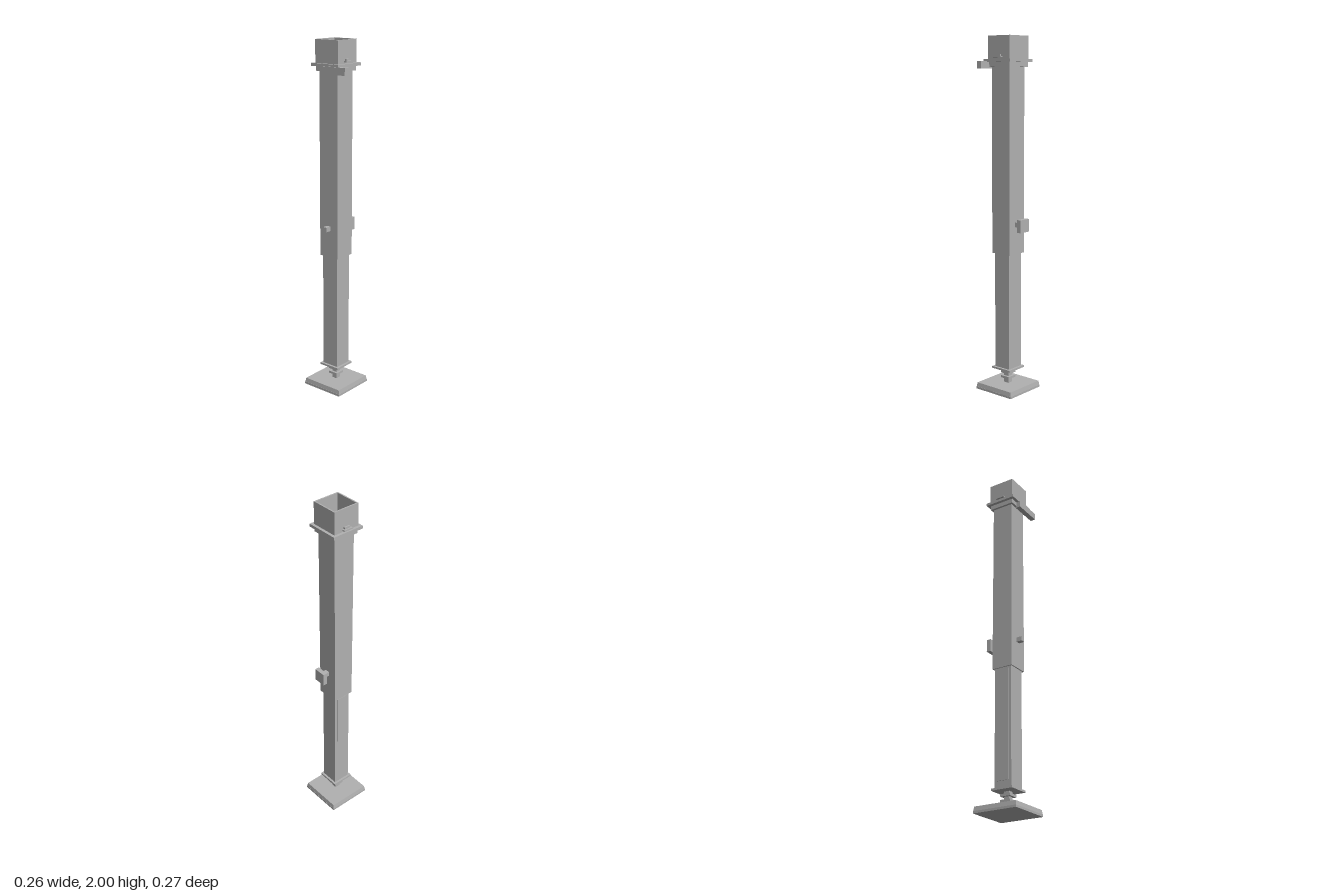
import * as THREE from 'three';

export function createModel() {
  const group = new THREE.Group();
  const steel = new THREE.MeshStandardMaterial({ color: 0xb0b0b0 });
  steel.name = 'grey steel';

  const add = (name, geometry, x = 0, y = 0, z = 0) => {
    const mesh = new THREE.Mesh(geometry, steel);
    mesh.name = name;
    mesh.position.set(x, y, z);
    group.add(mesh);
    return mesh;
  };
  const Z = -0.008; // axis of the post

  // Box given by its extents in x, y and z (z relative to the post axis)
  const box = (name, [x0, x1], [y0, y1], [z0, z1]) =>
    add(name, new THREE.BoxGeometry(x1 - x0, y1 - y0, z1 - z0),
      (x0 + x1) / 2, (y0 + y1) / 2, Z + (z0 + z1) / 2);
  // Solid square block centred on the axis
  const block = (name, r, y0, y1) => box(name, [-r, r], [y0, y1], [-r, r]);
  // Hollow square tube, outer half width r, inner half width h
  const tube = (name, r, h, y0, y1) => {
    const square = (s, P) => {
      const p = new P();
      p.moveTo(-s, -s); p.lineTo(s, -s); p.lineTo(s, s); p.lineTo(-s, s); p.closePath();
      return p;
    };
    const shape = square(r, THREE.Shape);
    shape.holes.push(square(h, THREE.Path));
    const g = new THREE.ExtrudeGeometry(shape, { depth: y1 - y0, bevelEnabled: false });
    g.rotateX(-Math.PI / 2);
    return add(name, g, 0, y0, Z);
  };

  // Foot: flat rim with a slightly tapered plate on it
  block('footRim', 0.13, 0, 0.012);
  const taper = new THREE.CylinderGeometry(0.125 * Math.SQRT2, 0.129 * Math.SQRT2, 0.024, 4)
    .rotateY(Math.PI / 4).toNonIndexed();
  taper.computeVertexNormals();
  add('footPlate', taper, 0, 0.024, Z);

  // Levelling screw with two nuts
  block('levellingScrew', 0.016, 0.034, 0.124);
  block('lowerNut', 0.03, 0.064, 0.077);
  block('upperNut', 0.03, 0.094, 0.107);

  // Telescoping posts
  block('innerPostPlate', 0.065, 0.122, 0.133);
  block('innerPost', 0.052, 0.13, 1.2);
  box('innerPostBackStrip', [-0.038, 0.038], [0.17, 0.79], [-0.056, -0.051]);
  tube('outerPost', 0.063, 0.056, 0.8, 1.86);

  // Collar, flange and open head
  tube('collar', 0.076, 0.062, 1.834, 1.86);
  tube('flange', 0.094, 0.062, 1.86, 1.876);
  tube('head', 0.078, 0.07, 1.876, 2);

  // Bolts through the front and back walls of the head
  for (const s of [1, -1]) {
    const z = s * 0.068;
    box('headBoltWasher', [-0.027, 0.027], [1.884, 1.891], [z - 0.027, z + 0.027]);
    box('headBolt', [-0.018, 0.018], [1.891, 1.901], [z - 0.018, z + 0.018]);
  }

  // Side lever under the flange
  box('sideLever', [-0.1, -0.07], [1.824, 1.864], [-0.027, 0.143]);

  // Locking pin with a square grip
  box('lockingPin', [-0.096, 0.1], [0.955, 0.981], [-0.013, 0.013]);
  box('pinGrip', [0.096, 0.121], [0.93, 1.002], [-0.036, 0.036]);

  return group;
}
